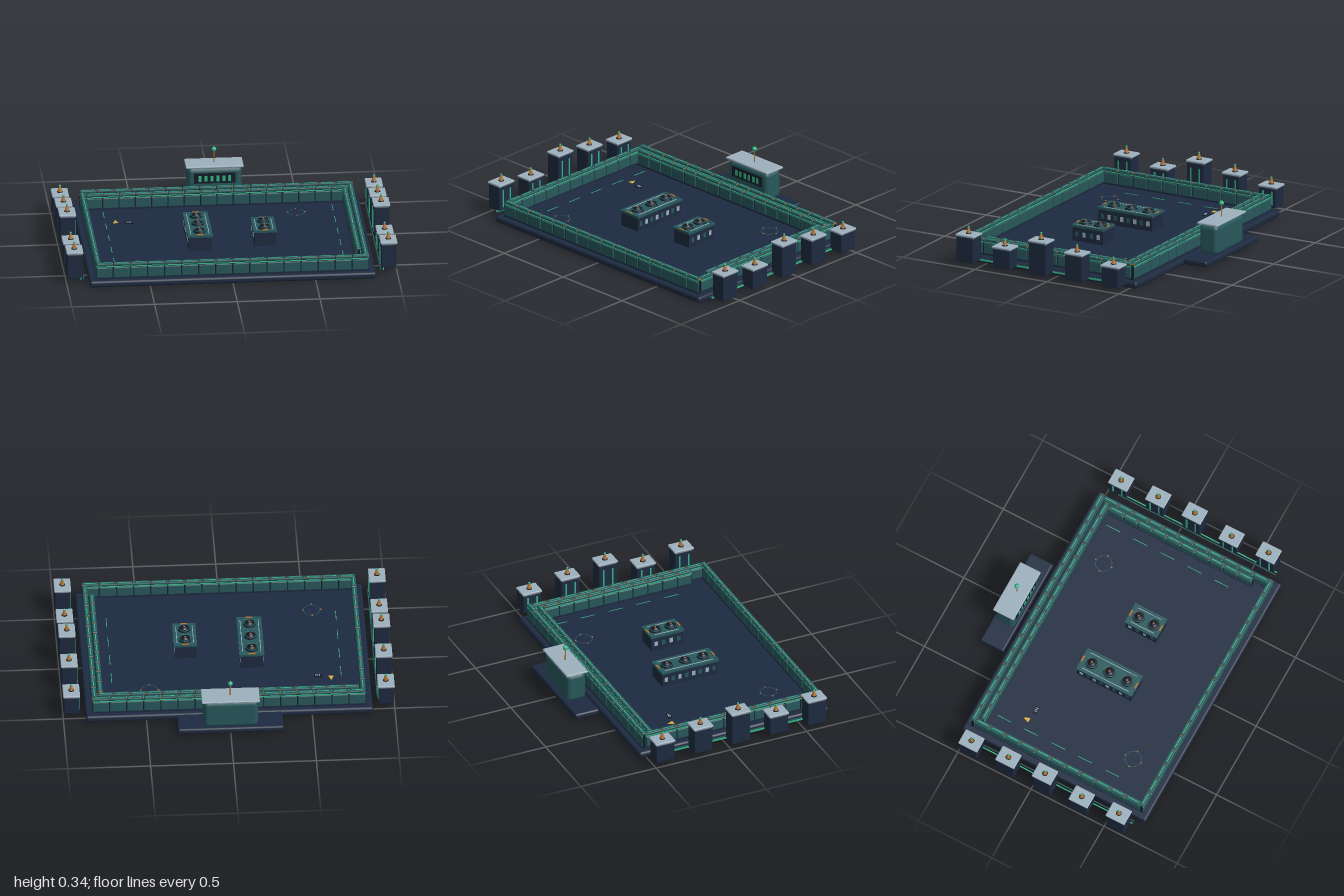
import * as THREE from 'three';
import { RoundedBoxGeometry } from 'three/addons/geometries/RoundedBoxGeometry.js';

const mat = (color) => new THREE.MeshStandardMaterial({ color });
const NAVY = mat(0x1d2a40), TEAL = mat(0x28585c), DARK = mat(0x141b28), GREY = mat(0x9db0bd);
const BRONZE = mat(0xb0742f), GREEN = mat(0x35b586), GOLD = mat(0xd9b040);

function add(parent, name, geometry, material, x = 0, y = 0, z = 0) {
  const m = new THREE.Mesh(geometry, material);
  m.name = name;
  m.position.set(x, y, z);
  parent.add(m);
  return m;
}
const box = (w, h, d) => new THREE.BoxGeometry(w, h, d);
const rbox = (w, h, d, r) => new RoundedBoxGeometry(w, h, d, 2, r);
const cyl = (a, b, h, n = 16) => new THREE.CylinderGeometry(a, b, h, n);
function group(parent, name, x = 0, y = 0, z = 0) {
  const g = new THREE.Group();
  g.name = name;
  g.position.set(x, y, z);
  parent.add(g);
  return g;
}

// Panelled wall running along its local x axis, standing on the floor
function wall(parent, name, length, x, z, turn, top = 0.14) {
  const g = group(parent, name, x, 0.04, z);
  g.rotation.y = turn;
  const h = top - 0.04, n = Math.round(length / 0.1), step = length / n;
  add(g, 'wallCore', box(length, h - 0.012, 0.016), DARK, 0, (h - 0.012) / 2, 0);
  add(g, 'wallFoot', box(length, 0.01, 0.03), NAVY, 0, 0.005, 0);
  for (const s of [-1, 1]) {
    add(g, 'wallLight', box(length, 0.005, 0.004), GREEN, 0, h - 0.02, s * 0.011);
  }
  for (let i = 0; i < n; i++) {
    const px = -length / 2 + (i + 0.5) * step;
    add(g, 'wallPanel', rbox(step * 0.95, h - 0.034, 0.028, 0.006), TEAL, px, h / 2 - 0.009, 0);
    add(g, 'wallCap', rbox(step * 0.95, 0.016, 0.03, 0.005), TEAL, px, h - 0.008, 0);
    add(g, 'capLight', box(step * 0.7, 0.002, 0.006), GREEN, px, h, 0);
    add(g, 'capJoint', box(0.006, 0.01, 0.024), BRONZE, px + step / 2 - 0.003, h - 0.008, 0);
  }
}

// Pylon with slab cap and bronze beacon; side is the sign of x
function tower(parent, side, z, top) {
  const g = group(parent, side > 0 ? 'leftTower' : 'rightTower', side * 0.949, 0, z);
  const h = top - 0.045;
  add(g, 'towerBody', rbox(0.094, h, 0.12, 0.006), NAVY, 0, 0.03 + h / 2, 0);
  add(g, 'towerCap', rbox(0.102, 0.014, 0.13, 0.005), GREY, 0, top - 0.007, 0);
  for (const dz of [-0.03, 0.03]) {
    add(g, 'towerLight', box(0.004, h * 0.7, 0.01), GREEN, -side * 0.048, 0.03 + h / 2, dz);
  }
  add(g, 'beaconBase', cyl(0.016, 0.018, 0.006), DARK, 0, top + 0.002, 0);
  add(g, 'beaconCone', cyl(0.005, 0.015, 0.036), BRONZE, 0, top + 0.02, 0);
  add(g, 'beaconLamp', new THREE.SphereGeometry(0.007, 12, 8), GREEN, 0, top + 0.04, 0);
}

// Machine block with a row of round fans on its deck
function machine(parent, x, z, w, d, fans) {
  const g = group(parent, 'machineBlock', x, 0.04, z);
  add(g, 'machineBody', box(w - 0.01, 0.09, d - 0.01), NAVY, 0, 0.045, 0);
  add(g, 'machineDeck', box(w - 0.02, 0.012, d - 0.02), TEAL, 0, 0.092, 0);
  for (const s of [-1, 1]) {
    add(g, 'deckSideRail', box(0.012, 0.014, d), TEAL, s * (w / 2 - 0.006), 0.094, 0);
    add(g, 'deckSideTrim', box(0.004, 0.003, d - 0.06), GREY, s * (w / 2 - 0.02), 0.1, 0);
    add(g, 'deckEndRail', box(w, 0.014, 0.012), TEAL, 0, 0.094, s * (d / 2 - 0.006));
    add(g, 'deckLatch', box(0.04, 0.005, 0.01), BRONZE, 0, 0.103, s * (d / 2 - 0.007));
    const n = Math.round(d / 0.05);
    for (let i = 0; i < n; i++) {
      add(g, 'sideVent', box(0.004, 0.03, 0.022), i % 2 ? TEAL : GREY,
        s * (w / 2 - 0.005), 0.045, ((i + 0.5) / n - 0.5) * (d - 0.02));
    }
  }
  for (const fz of fans) {
    const f = group(g, 'fan', 0, 0.098, fz - z);
    add(f, 'fanDrum', cyl(0.034, 0.038, 0.012, 24), DARK, 0, 0.006, 0);
    const ring = add(f, 'fanRing', new THREE.TorusGeometry(0.034, 0.003, 6, 24), TEAL, 0, 0.012, 0);
    ring.rotation.x = Math.PI / 2;
    add(f, 'fanDome', cyl(0.012, 0.024, 0.01), DARK, 0, 0.016, 0);
    add(f, 'fanHub', new THREE.SphereGeometry(0.006, 10, 8), BRONZE, 0, 0.021, 0);
  }
}

export function createModel() {
  const root = new THREE.Group();
  root.name = 'arena';

  // Floor slab
  add(root, 'floor', rbox(1.73, 0.04, 1.255, 0.014), NAVY, 0, 0.02, 0.0825);

  // Perimeter walls and the shorter inner rows
  const q = Math.PI / 2;
  wall(root, 'frontWall', 1.65, 0, 0.66, 0);
  wall(root, 'backWall', 1.65, 0, -0.495, 0, 0.145);
  wall(root, 'rightWall', 1.13, -0.81, 0.0825, q);
  wall(root, 'leftWall', 1.13, 0.81, 0.0825, q);
  wall(root, 'innerBackWall', 1.58, 0, -0.445, 0);
  wall(root, 'innerLeftWall', 0.98, 0.772, 0.07, q);

  // Tower rows and the twin rails linking them
  const towers = [[-0.435, 0.165], [-0.182, 0.204], [0.068, 0.243], [0.32, 0.165], [0.573, 0.204]];
  for (const s of [-1, 1]) {
    for (const [z, top] of towers) tower(root, s, z, top);
    for (const x of [0.898, 0.914]) {
      add(root, 'towerRail', box(0.006, 0.008, 1.08), x < 0.9 ? TEAL : GREEN, s * x, 0.036, 0.11);
    }
  }

  // Control house on its own plinth
  const house = group(root, 'controlHouse', 0, 0, -0.637);
  add(house, 'housePlinth', rbox(0.638, 0.036, 0.16, 0.012), NAVY, 0, 0.033, 0);
  add(house, 'houseBody', rbox(0.33, 0.185, 0.125, 0.028), TEAL, 0, 0.137, 0);
  add(house, 'houseRoof', rbox(0.35, 0.014, 0.142, 0.006), GREY, 0, 0.237, 0);
  add(house, 'windowBand', box(0.25, 0.065, 0.006), DARK, 0, 0.165, 0.062);
  for (let i = 0; i < 6; i++) {
    add(house, 'houseWindow', box(0.018, 0.036, 0.005), GREEN, (i - 2.5) * 0.036, 0.163, 0.065);
  }
  add(house, 'mast', cyl(0.003, 0.004, 0.085, 8), BRONZE, 0, 0.284, 0);
  add(house, 'mastLamp', new THREE.SphereGeometry(0.015, 16, 12), GREEN, 0, 0.328, 0);

  // Machines on the floor
  machine(root, -0.16, 0.085, 0.15, 0.38, [-0.038, 0.083, 0.203]);
  machine(root, 0.235, 0.12, 0.14, 0.22, [0.07, 0.173]);

  // Dashed lane markings with end ticks
  for (const s of [-1, 1]) for (let i = 0; i < 5; i++) {
    const z = -0.35 + i * 0.185;
    add(root, 'laneMark', box(0.004, 0.002, 0.093), GREEN, s * 0.692, 0.041, z);
    add(root, 'laneTick', box(0.012, 0.002, 0.003), TEAL, s * 0.687, 0.041, z + 0.045);
  }

  // Floor target rings with four studs each
  for (const [x, z] of [[0.468, -0.295], [-0.55, 0.457]]) {
    const t = group(root, 'floorTarget', x, 0.041, z);
    const ring = add(t, 'targetRing', new THREE.RingGeometry(0.048, 0.052, 32), TEAL);
    ring.rotation.x = -q;
    for (let i = 0; i < 4; i++) {
      add(t, 'targetStud', box(0.008, 0.004, 0.008), BRONZE, Math.cos(i * q) * 0.055, 0.001, Math.sin(i * q) * 0.055);
    }
  }

  // Arrow marker and small floor grille
  const arrow = new THREE.Shape([[-0.016, -0.018], [0.016, -0.018], [0, 0.022]].map((p) => new THREE.Vector2(...p)));
  const mark = add(root, 'arrowMarker',
    new THREE.ExtrudeGeometry(arrow, { depth: 0.004, bevelEnabled: false }), GOLD, -0.63, 0.04, -0.23);
  mark.rotation.x = -q;
  add(root, 'floorGrille', box(0.05, 0.006, 0.024), DARK, -0.553, 0.042, -0.205);
  for (let i = 0; i < 3; i++) {
    add(root, 'grilleSlat', box(0.005, 0.004, 0.016), GREY, -0.562 + i * 0.011, 0.045, -0.205);
  }
  return root;
}
